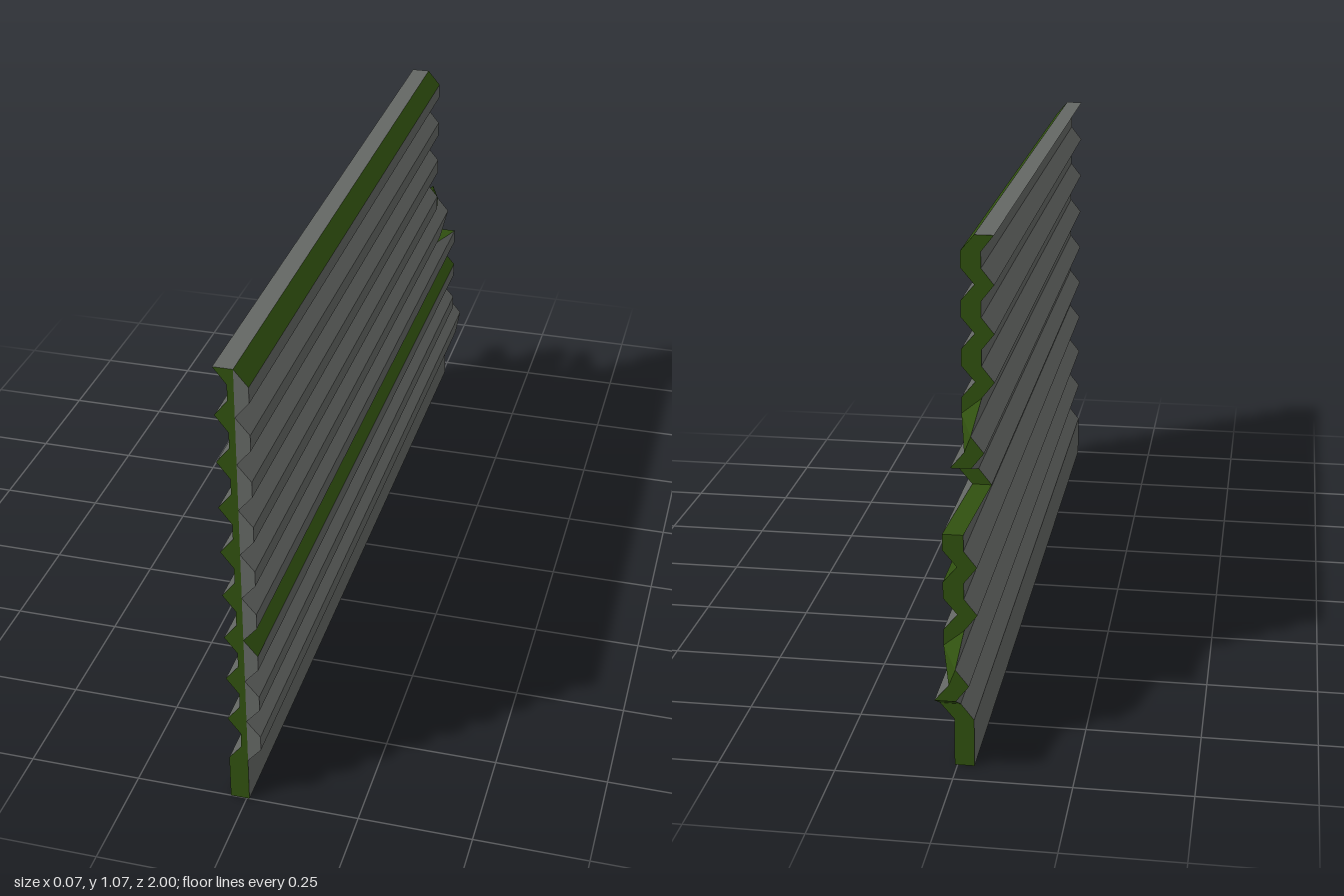
import * as THREE from 'three';

// Horizontal profile rows: a plain base, then nine trapezoid corrugations
const ROWS = 30, STEP = 1.07 / ROWS;
const BACK_VALLEY = -0.036, BACK_RIDGE = -0.008;
const FRONT_VALLEY = 0.006, FRONT_RIDGE = 0.036;
const isValley = (i) => i <= 3 || i % 3 === 0;

// Ragged torn end: [last row, z] steps for each face of the sheet
const FRONT_TEAR = [[4, -0.94], [6, -1], [14, -0.89], [16, -0.69], [18, -0.79], [30, -0.645]];
const BACK_TEAR = [[4, -0.94], [7, -1], [14, -0.89], [16, -0.69], [19, -0.79], [30, -0.645]];
const tearZ = (steps, i) => steps.find(([last]) => i <= last)[1];

const front = (i, z = tearZ(FRONT_TEAR, i)) => [isValley(i) ? FRONT_VALLEY : FRONT_RIDGE, i * STEP, z];
const back = (i, z = tearZ(BACK_TEAR, i)) => [isValley(i) ? BACK_VALLEY : BACK_RIDGE, i * STEP, z];

// One flat-shaded mesh from a list of four-cornered faces
function quadMesh(name, quads, material) {
  const points = quads.flatMap(([a, b, c, d]) => [a, b, c, a, c, d]).flat();
  const geometry = new THREE.BufferGeometry();
  geometry.setAttribute('position', new THREE.Float32BufferAttribute(points, 3));
  geometry.computeVertexNormals();
  const mesh = new THREE.Mesh(geometry, material);
  mesh.name = name;
  return mesh;
}

export function createModel() {
  const metal = new THREE.MeshStandardMaterial({ color: 0x646764 });
  metal.name = 'grey metal';
  const moss = new THREE.MeshStandardMaterial({ color: 0x30500f });
  moss.name = 'moss green';

  const sheet = [], greenStrips = [], backSheet = [], tornEdge = [], straightEdge = [], ridgeEnds = [];
  const greenRows = [9, 11, 29];

  for (let i = 0; i < ROWS; i++) {
    const j = i + 1;
    // Long strips on both faces
    (greenRows.includes(i) ? greenStrips : sheet).push([front(i, 1), front(i), front(j), front(j, 1)]);
    backSheet.push([back(j, 1), back(j), back(i), back(i, 1)]);
    // Torn end and the zigzag of the straight end
    tornEdge.push([front(i), back(i), back(j), front(j)]);
    straightEdge.push([back(i, 1), [FRONT_VALLEY, i * STEP, 1], [FRONT_VALLEY, j * STEP, 1], back(j, 1)]);
    // Grey ends of the ridges
    if (i >= 3 && i % 3 === 0) {
      ridgeEnds.push([front(i, 1), front(i + 1, 1), front(i + 2, 1), front(i + 3, 1)]);
    }
  }

  const bottom = [[back(0, 1), back(0), front(0), front(0, 1)]];
  const top = [[front(ROWS, 1), front(ROWS), back(ROWS), back(ROWS, 1)]];

  const group = new THREE.Group();
  group.name = 'corrugatedPanel';
  group.add(
    quadMesh('frontSheet', sheet, metal),
    quadMesh('greenStrips', greenStrips, moss),
    quadMesh('backSheet', backSheet, metal),
    quadMesh('tornEdge', tornEdge, moss),
    quadMesh('straightEdge', straightEdge, moss),
    quadMesh('ridgeEnds', ridgeEnds, metal),
    quadMesh('bottomEdge', bottom, metal),
    quadMesh('topEdge', top, metal),
  );
  return group;
}
